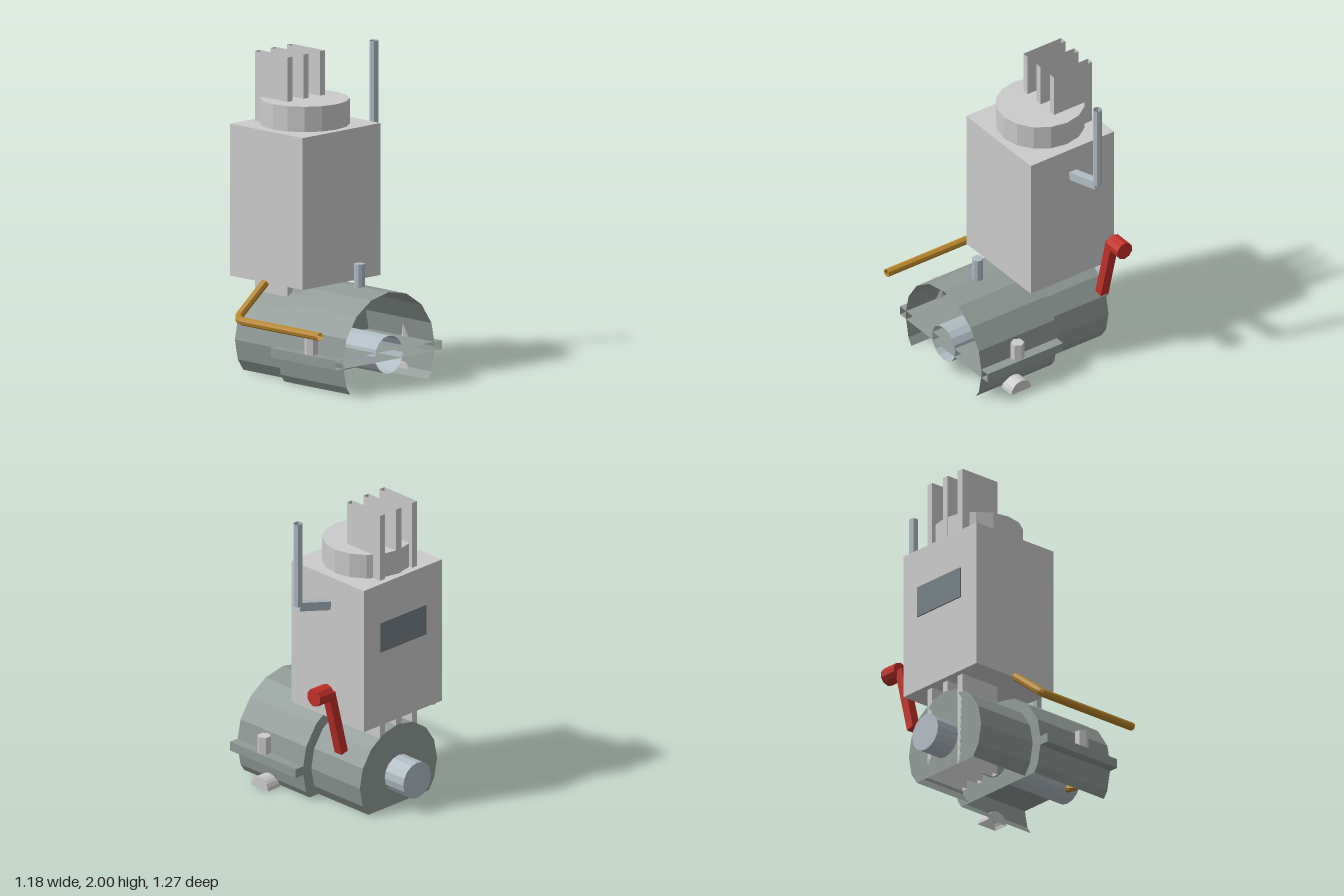
import * as THREE from 'three';

const mat = (color) => new THREE.MeshStandardMaterial({ color, flatShading: true, side: THREE.DoubleSide });
const CY = 0.2, CZ = 0.005; // axis of the barrel and shaft
const END = 0.59; // open end of the machine on +x

export function createModel() {
  const model = new THREE.Group();
  const grey = mat(0xcccccc), casing = mat(0x909a96), steel = mat(0xb0bcc4);
  const red = mat(0xc03028), brass = mat(0xb8862a), slate = mat(0x747f85);

  function add(name, geometry, material, x = 0, y = 0, z = 0) {
    const mesh = new THREE.Mesh(geometry, material);
    mesh.name = name;
    mesh.position.set(x, y, z);
    model.add(mesh);
    return mesh;
  }

  // Box given by its limits; faces listed in open (0 +x, 2 +y, 3 -y) are left out
  function box(name, material, [x0, x1], [y0, y1], [z0, z1], open = []) {
    const g = new THREE.BoxGeometry(x1 - x0, y1 - y0, z1 - z0);
    const index = Array.from(g.index.array);
    g.setIndex(index.filter((_, i) => !open.includes(Math.floor(i / 6))));
    g.clearGroups();
    return add(name, g, material, (x0 + x1) / 2, (y0 + y1) / 2, (z0 + z1) / 2);
  }

  // Bar or rod between two points, its length along local y
  function between(name, material, geometry, a, b) {
    const p = new THREE.Vector3(...a), q = new THREE.Vector3(...b);
    const mesh = add(name, geometry, material);
    mesh.position.copy(p).add(q).multiplyScalar(0.5);
    mesh.quaternion.setFromUnitVectors(new THREE.Vector3(0, 1, 0), q.sub(p).normalize());
    return mesh;
  }

  // 16-sided outline in z and y, cut off at the ground
  function cutOutline(r) {
    const ring = [], out = [];
    for (let i = -4; i <= 12; i++) {
      const a = (i * Math.PI) / 8;
      ring.push(new THREE.Vector2(CZ + r * Math.cos(a), CY + r * Math.sin(a)));
    }
    ring.forEach((p, i) => {
      const prev = ring[i - 1];
      if (prev && prev.y * p.y < 0) out.push(prev.clone().lerp(p, prev.y / (prev.y - p.y)));
      if (p.y >= 0) out.push(p);
    });
    return out;
  }

  // Barrel section along x, open underneath, with end discs where asked
  function barrel(name, r, x0, x1, caps) {
    const pts = cutOutline(r), pos = [];
    for (let i = 0; i < pts.length - 1; i++) {
      const a = pts[i], b = pts[i + 1];
      const A = [x0, a.y, a.x], B = [x0, b.y, b.x], C = [x1, b.y, b.x], D = [x1, a.y, a.x];
      pos.push(...A, ...D, ...C, ...A, ...C, ...B);
    }
    const g = new THREE.BufferGeometry();
    g.setAttribute('position', new THREE.Float32BufferAttribute(pos, 3));
    g.computeVertexNormals();
    add(name, g, casing);
    caps.forEach((x) => {
      const disc = new THREE.ShapeGeometry(new THREE.Shape(pts));
      disc.rotateY(-Math.PI / 2);
      add(name + 'Disc', disc, casing, x);
    });
  }

  // Barrel, flange and shaft
  barrel('rearBarrel', 0.335, -0.43, 0, [-0.43, 0]);
  barrel('mainBarrel', 0.4, 0.01, END, [0.01]);
  box('flangePlate', casing, [0.01, END], [0.17, 0.23], [-0.455, 0.465], [0]);
  const shaft = new THREE.CylinderGeometry(0.12, 0.12, END + 0.595, 16, 1, true);
  add('shaft', shaft.rotateZ(Math.PI / 2), steel, (END - 0.595) / 2, CY + 0.005, CZ);
  const shaftEnd = new THREE.CircleGeometry(0.12, 16);
  add('shaftEnd', shaftEnd.rotateY(-Math.PI / 2), steel, -0.595, CY + 0.005, CZ);

  // Bolts
  for (const z of [-0.415, 0.425]) {
    add('flangeBolt', new THREE.CylinderGeometry(0.043, 0.043, 0.115, 6), grey, 0.33, 0.287, z);
  }
  add('topPlug', new THREE.CylinderGeometry(0.035, 0.035, 0.175, 10), steel, 0.33, 0.655, CZ);
  const lowBolt = new THREE.CylinderGeometry(0.075, 0.075, 0.1, 10, 1, false, 0, Math.PI);
  lowBolt.rotateY(Math.PI / 2).rotateX(Math.PI / 2);
  lowBolt.computeBoundingBox();
  if (lowBolt.boundingBox.min.y < -0.01) lowBolt.rotateZ(Math.PI);
  add('lowerBolt', lowBolt, grey, 0.33, 0, -0.405);

  // Tall housing with its round lid and name panel
  box('housing', grey, [-0.47, 0.17], [0.6, 1.56], [-0.335, 0.342]);
  add('lid', new THREE.CylinderGeometry(0.278, 0.278, 0.16, 16), grey, -0.152, 1.64, CZ);
  box('sidePanel', slate, [-0.48, -0.465], [1.1, 1.3], [-0.2, 0.2]);

  // Plates running up through the housing
  for (const z of [-0.135, 0.007, 0.145]) {
    box('verticalPlate', grey, [-0.43, -0.14], [0, 2], [z - 0.022, z + 0.022], [2, 3]);
  }

  // Rear arm and upright pole
  between('poleArm', steel, new THREE.BoxGeometry(0.055, 0.275, 0.055), [-0.152, 1.365, -0.335], [-0.152, 1.44, -0.6]);
  add('pole', new THREE.CylinderGeometry(0.028, 0.028, 0.56, 8, 1, true), steel, -0.152, 1.72, -0.595);

  // Red lever with knob
  between('lever', red, new THREE.BoxGeometry(0.06, 0.45, 0.057), [-0.332, 0.443, -0.395], [-0.332, 0.882, -0.505]);
  const knob = new THREE.CylinderGeometry(0.058, 0.058, 0.12, 10);
  add('leverKnob', knob.rotateX(Math.PI / 2), red, -0.332, 0.883, -0.575);

  // Bent pipe from the housing along the front
  const corner = new THREE.Vector3(-0.152, 0.402, 0.605);
  const start = new THREE.Vector3(-0.152, 0.603, 0.35);
  const bendIn = corner.clone().lerp(start, 0.2);
  const bendOut = corner.clone().add(new THREE.Vector3(0.065, 0, 0));
  const path = new THREE.CurvePath();
  path.add(new THREE.LineCurve3(start, bendIn));
  path.add(new THREE.QuadraticBezierCurve3(bendIn, corner, bendOut));
  path.add(new THREE.LineCurve3(bendOut, new THREE.Vector3(END, 0.402, 0.605)));
  add('frontPipe', new THREE.TubeGeometry(path, 60, 0.026, 8), brass);

  // Tip of a lower pipe, levelled at the ground
  const tip = new THREE.CylinderGeometry(0.026, 0.026, 0.07, 8, 1);
  tip.rotateX(-0.93).translate(0.36, 0.003, 0.297);
  const p = tip.attributes.position;
  for (let i = 0; i < p.count; i++) p.setY(i, Math.max(0, p.getY(i)));
  tip.computeVertexNormals();
  add('lowerPipeTip', tip, brass);

  return model;
}
